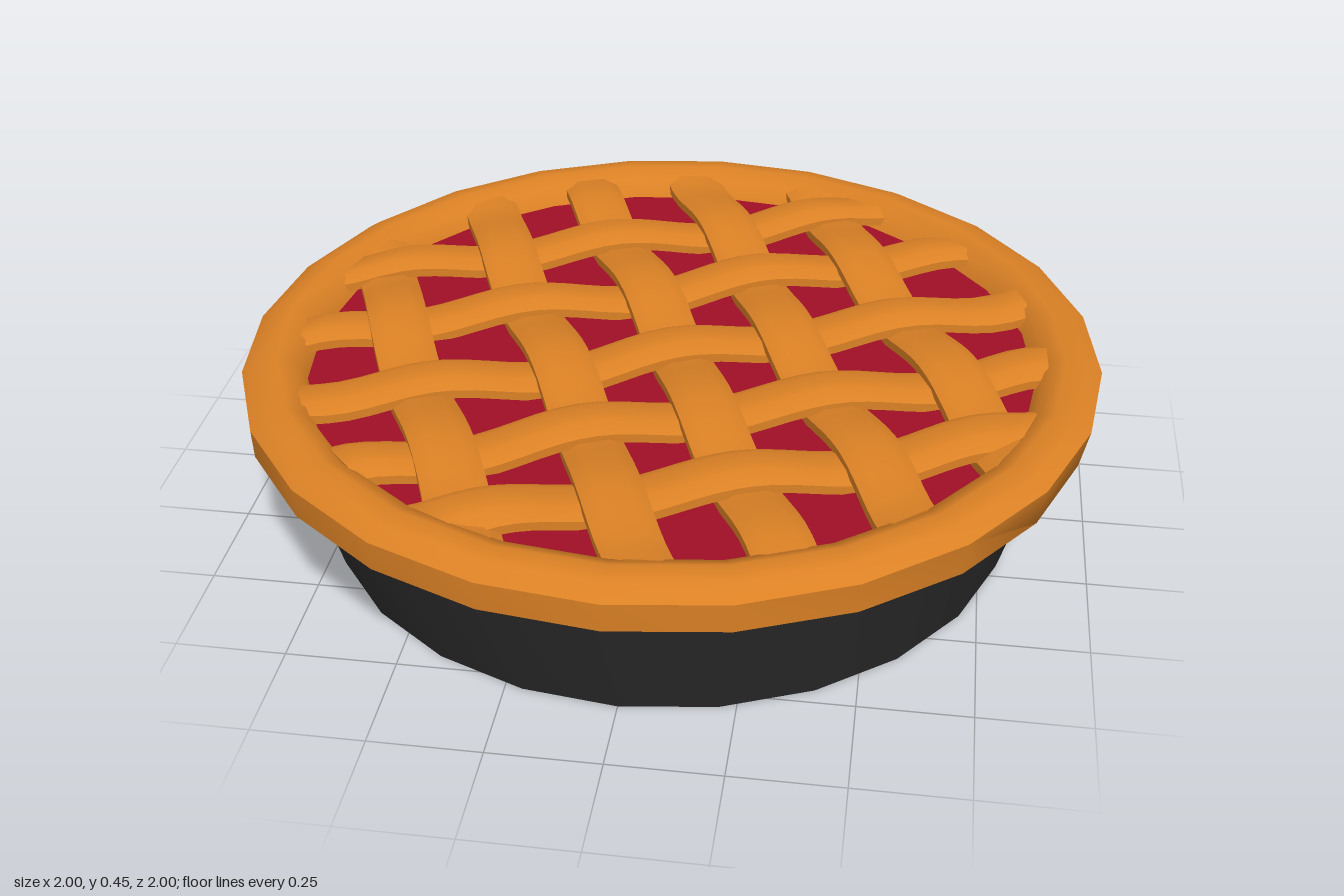
import * as THREE from 'three';
import { toCreasedNormals } from 'three/addons/utils/BufferGeometryUtils.js';

const SIDES = 24;
const ANGLE = 0.4;      // turn of the lattice about y
const PITCH = 0.285;    // spacing of the lattice strips
const END_RADIUS = 0.875;

const lathe = (points, crease) =>
  toCreasedNormals(new THREE.LatheGeometry(points.map(([r, y]) => new THREE.Vector2(r, y)), SIDES), crease);

// Rolled crust edge: rounded at the front left, with a sharper lower edge at the back right
function rimGeometry() {
  const round = [[0.9, 0.318], [0.945, 0.32], [0.995, 0.342], [0.998, 0.41], [0.96, 0.436],
    [0.915, 0.445], [0.87, 0.425], [0.845, 0.37]];
  const sharp = [[0.9, 0.32], [0.972, 0.32], [0.978, 0.325], [0.998, 0.418], [0.965, 0.437],
    [0.915, 0.445], [0.87, 0.425], [0.845, 0.37]];
  const geometry = new THREE.LatheGeometry(round.map(([r, y]) => new THREE.Vector2(r, y)), SIDES);
  const pos = geometry.attributes.position;
  for (let i = 0; i < pos.count; i++) {
    const k = i % round.length;
    const a = Math.atan2(pos.getX(i), pos.getZ(i));
    const s = THREE.MathUtils.smoothstep(Math.sin(a) - Math.cos(a), -0.9, 0.9);
    const r = THREE.MathUtils.lerp(round[k][0], sharp[k][0], s);
    const y = THREE.MathUtils.lerp(round[k][1], sharp[k][1], s);
    pos.setXYZ(i, r * Math.sin(a), y, r * Math.cos(a));
  }
  return toCreasedNormals(geometry, 0.9);
}

// Domed strip along x that rises and dips, its ends cut to the round of the pie
function stripGeometry(offset, phase, seed) {
  const half = 0.07, height = 0.038, base = 0.394, wave = 0.02, steps = 36;
  const section = [[-1, 0], [-1, 0.55], [-0.5, 1], [0.5, 1], [1, 0.55], [1, 0]];
  const n = section.length;
  const positions = [], index = [];
  for (let i = 0; i <= steps; i++) {
    const t = (i / steps) * 2 - 1;
    for (const [w, h] of section) {
      const edge = offset + w * half;
      const x = t * Math.sqrt(END_RADIUS ** 2 - edge ** 2);
      const sway = 0.01 * Math.sin(x * 5 + seed * 1.7);
      const lift = phase * Math.cos(Math.PI * x / PITCH) * wave * (1 - t ** 8);
      positions.push(x, base + lift + h * height, edge + sway * (1 - t ** 4));
    }
  }
  for (let i = 0; i < steps; i++) {
    for (let k = 0; k < n; k++) {
      const a = i * n + k, b = i * n + (k + 1) % n;
      index.push(a, b, a + n, b, b + n, a + n);
    }
  }
  const last = steps * n;
  for (let k = 1; k < n - 1; k++) {
    index.push(0, k + 1, k, last, last + k, last + k + 1);
  }
  const geometry = new THREE.BufferGeometry();
  geometry.setAttribute('position', new THREE.Float32BufferAttribute(positions, 3));
  geometry.setIndex(index);
  return toCreasedNormals(geometry, 0.8);
}

export function createModel() {
  const crust = new THREE.MeshStandardMaterial({ color: 0xdb8125 });
  crust.name = 'crust';
  const cherry = new THREE.MeshStandardMaterial({ color: 0xa00f25 });
  cherry.name = 'cherry filling';
  const tin = new THREE.MeshStandardMaterial({ color: 0x2b2b2b });
  tin.name = 'dark tin';

  const model = new THREE.Group();
  model.name = 'pie';
  const add = (parent, name, geometry, material) => {
    const mesh = new THREE.Mesh(geometry, material);
    mesh.name = name;
    parent.add(mesh);
    return mesh;
  };

  // Tin, crust edge and filling
  add(model, 'pan', lathe([[0, 0], [0.82, 0], [0.912, 0.33]], 0.6), tin);
  add(model, 'crustRim', rimGeometry(), crust);
  const filling = add(model, 'filling', new THREE.CircleGeometry(0.86, 48), cherry);
  filling.rotation.x = -Math.PI / 2;
  filling.position.y = 0.382;

  // Woven lattice: two crossing sets of strips
  const lattice = new THREE.Group();
  lattice.name = 'lattice';
  lattice.rotation.y = ANGLE;
  model.add(lattice);
  const cross = [-0.555, -0.275, 0.03, 0.31, 0.57];
  const down = [-0.6, -0.28, 0.005, 0.285, 0.575];
  for (let i = 0; i < 5; i++) {
    const sign = i % 2 ? -1 : 1;
    add(lattice, 'crossStrip' + (i + 1), stripGeometry(cross[i], sign, i), crust);
    const strip = add(lattice, 'downStrip' + (i + 1), stripGeometry(-down[i], -sign, i + 5), crust);
    strip.rotation.y = -Math.PI / 2;
  }
  return model;
}
